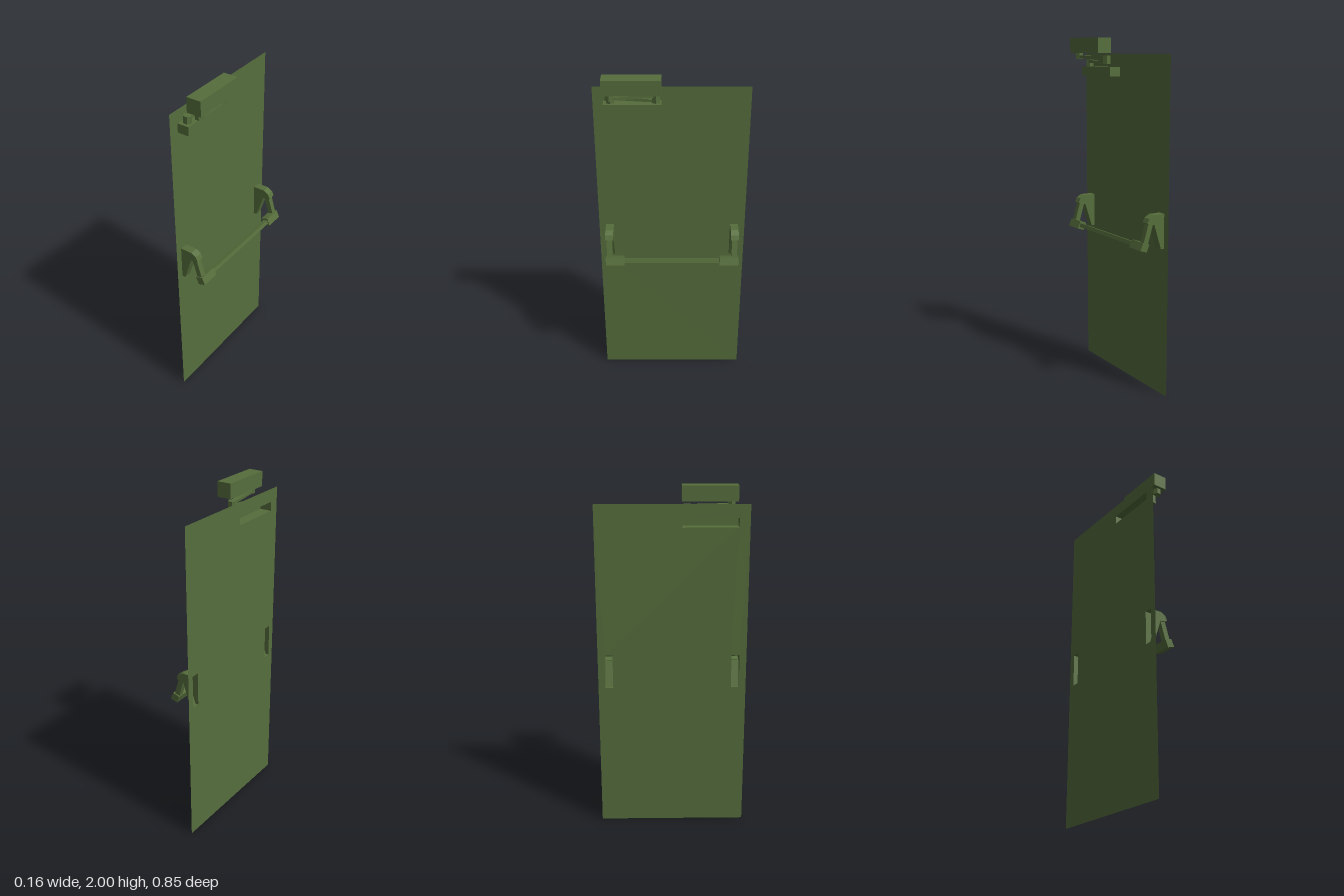
import * as THREE from 'three';

const BACK = -0.08; // plane of the door leaf
const material = new THREE.MeshStandardMaterial({ color: 0x566e3c, flatShading: true, side: THREE.DoubleSide });

function add(parent, name, geometry) {
  const mesh = new THREE.Mesh(geometry, material);
  mesh.name = name;
  parent.add(mesh);
  return mesh;
}

function shapeOf(points) {
  return new THREE.Shape(points.map(([x, y]) => new THREE.Vector2(x, y)));
}

// Profile in x/y, extruded between two z values
function prism(points, z0, z1) {
  return new THREE.ExtrudeGeometry(shapeOf(points), { depth: z1 - z0, bevelEnabled: false }).translate(0, 0, z0);
}

const rect = (x0, x1, y0, y1) => [[x0, y0], [x1, y0], [x1, y1], [x0, y1]];

// Removes the faces lying in the door plane, leaving a hollow cover
function openBack(geometry) {
  const source = geometry.index ? geometry.toNonIndexed() : geometry;
  const p = source.attributes.position;
  const kept = [];
  for (let i = 0; i < p.count; i += 3) {
    if ([0, 1, 2].every((k) => p.getX(i + k) < BACK + 1e-4)) continue;
    for (let k = 0; k < 3; k++) kept.push(p.getX(i + k), p.getY(i + k), p.getZ(i + k));
  }
  const result = new THREE.BufferGeometry();
  result.setAttribute('position', new THREE.Float32BufferAttribute(kept, 3));
  result.computeVertexNormals();
  return result;
}

// Hexagonal pivot standing upright
function pivot(parent, name, x, z, y0, y1) {
  const geometry = new THREE.CylinderGeometry(0.024, 0.024, y1 - y0, 6).rotateY(Math.PI / 6);
  add(parent, name, geometry).position.set(x, (y0 + y1) / 2, z);
}

// Flat bar between two points in plan
function link(parent, name, [x0, z0], [x1, z1], y) {
  const geometry = new THREE.BoxGeometry(0.029, 0.016, Math.hypot(x1 - x0, z1 - z0));
  const mesh = add(parent, name, geometry);
  mesh.position.set((x0 + x1) / 2, y, (z0 + z1) / 2);
  mesh.rotation.y = Math.atan2(x1 - x0, z1 - z0);
}

function buildDoor(group) {
  // Thin leaf with openings behind the hollow covers
  const shape = shapeOf(rect(-0.425, 0.425, 0, 1.91));
  const openings = [
    rect(0.055, 0.365, 1.783, 1.835),
    rect(0.34, 0.386, 0.858, 1.055),
    rect(-0.386, -0.34, 0.858, 1.055),
  ];
  for (const opening of openings) shape.holes.push(shapeOf(opening));
  add(group, 'doorLeaf', new THREE.ShapeGeometry(shape).rotateY(-Math.PI / 2).translate(BACK, 0, 0));
}

function buildCloser(group) {
  const closer = new THREE.Group();
  closer.name = 'doorCloser';
  group.add(closer);
  add(closer, 'closerHousing', prism(rect(-0.018, 0.067, 1.915, 2), 0.055, 0.365));
  add(closer, 'closerDoorMount', openBack(prism(rect(BACK, -0.012, 1.783, 1.835), 0.055, 0.365)));

  // Folding arm: two links joined at an elbow
  const lower = [-0.045, 0.327], elbow = [-0.009, 0.083], upper = [0.028, 0.327];
  pivot(closer, 'lowerPivot', ...lower, 1.835, 1.876);
  pivot(closer, 'elbowPivot', ...elbow, 1.852, 1.9);
  pivot(closer, 'upperPivot', ...upper, 1.88, 1.915);
  link(closer, 'lowerArm', lower, elbow, 1.864);
  link(closer, 'upperArm', elbow, upper, 1.89);
}

function buildPushBar(group) {
  const bar = new THREE.Group();
  bar.name = 'pushBar';
  group.add(bar);

  const bracket = [
    [BACK, 0.858], [-0.06, 0.858], [-0.014, 1.0], [0.018, 1.003],
    [0.032, 1.012], [0.02, 1.038], [-0.01, 1.055], [BACK, 1.055],
  ];
  const lever = [[0.024, 0.89], [0.053, 0.9], [0.02, 1.012], [-0.01, 1.004]];
  const endBlock = [[0.035, 0.853], [0.077, 0.866], [0.059, 0.909], [0.018, 0.896]];
  const rail = [[0.037, 0.867], [0.065, 0.875], [0.058, 0.897], [0.03, 0.888]];

  add(bar, 'crossRail', prism(rail, -0.285, 0.285));
  for (const [side, s] of [['front', 1], ['back', -1]]) {
    const place = (points, a, b) => prism(points, Math.min(a * s, b * s), Math.max(a * s, b * s));
    add(bar, side + 'Bracket', openBack(place(bracket, 0.34, 0.386)));
    add(bar, side + 'Lever', place(lever, 0.347, 0.379));
    add(bar, side + 'EndBlock', place(endBlock, 0.278, 0.386));
  }
}

export function createModel() {
  const group = new THREE.Group();
  group.name = 'exitDoor';
  buildDoor(group);
  buildCloser(group);
  buildPushBar(group);
  return group;
}
